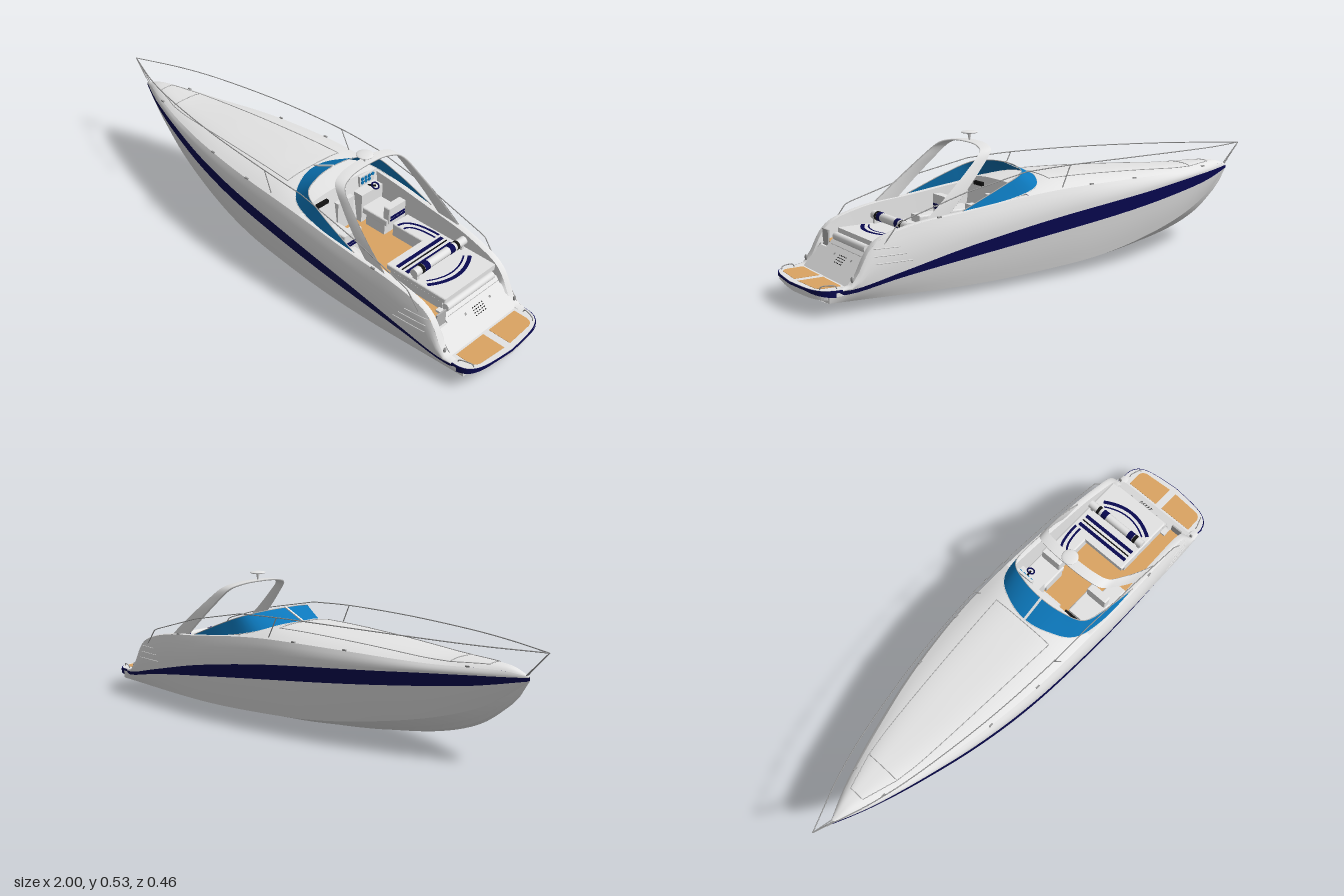
import * as THREE from 'three';

const mat = (name, color) => Object.assign(new THREE.MeshStandardMaterial({ color, side: THREE.DoubleSide }), { name });
const M = {
  white: mat('gelcoat white', 0xe4e4e4), navy: mat('navy', 0x080850), glass: mat('blue glass', 0x0c78bc),
  teak: mat('teak', 0xdba462), grey: mat('panel grey', 0xb4b4b4), steel: mat('steel', 0x9a9a9a),
  black: mat('black', 0x121212),
};

// Smooth curve through [x, value] pairs.
const curve = (...p) => {
  const s = p.map((_, i) => {
    const a = p[Math.max(i - 1, 0)], b = p[Math.min(i + 1, p.length - 1)];
    return (b[1] - a[1]) / (b[0] - a[0]);
  });
  return x => {
    let i = 0;
    while (i < p.length - 2 && x > p[i + 1][0]) i++;
    const d = p[i + 1][0] - p[i][0], t = Math.min(Math.max((x - p[i][0]) / d, 0), 1), t2 = t * t, t3 = t2 * t;
    return p[i][1] * (2 * t3 - 3 * t2 + 1) + p[i + 1][1] * (3 * t2 - 2 * t3) +
      d * (s[i] * (t3 - 2 * t2 + t) + s[i + 1] * (t3 - t2));
  };
};

// Hull lines along x: heights and half widths.
const keelY = curve([-0.93, 0.285], [-0.9, 0.235], [-0.85, 0.185], [-0.75, 0.115], [-0.6, 0.063], [-0.4, 0.028], [-0.2, 0.01], [0, 0.002], [0.4, 0], [0.8, 0.012], [0.94, 0.03]);
const chineY = curve([-0.93, 0.286], [-0.85, 0.225], [-0.75, 0.172], [-0.6, 0.125], [-0.4, 0.085], [-0.2, 0.057], [0, 0.042], [0.4, 0.03], [0.94, 0.042]);
const chineZ = curve([-0.93, 0.002], [-0.85, 0.02], [-0.75, 0.045], [-0.6, 0.085], [-0.4, 0.13], [-0.2, 0.165], [0, 0.185], [0.4, 0.196], [0.94, 0.18]);
const lowY = curve([-0.93, 0.287], [-0.75, 0.256], [-0.5, 0.23], [0, 0.183], [0.4, 0.138], [0.7, 0.098], [0.85, 0.07], [0.94, 0.062]);
const lowZ = curve([-0.93, 0.004], [-0.85, 0.037], [-0.75, 0.073], [-0.6, 0.118], [-0.4, 0.168], [-0.2, 0.202], [0, 0.219], [0.3, 0.225], [0.6, 0.215], [0.85, 0.199], [0.94, 0.182]);
const topY = curve([-0.93, 0.298], [-0.75, 0.292], [-0.5, 0.278], [0, 0.239], [0.4, 0.182], [0.7, 0.118], [0.85, 0.084], [0.94, 0.079]);
const topZ = x => lowZ(x) + 0.005 * Math.min(1, (x + 0.93) * 8);
const gunY = curve([-0.93, 0.302], [-0.85, 0.315], [-0.6, 0.315], [-0.3, 0.325], [0, 0.327], [0.2, 0.316], [0.46, 0.287], [0.6, 0.273], [0.7, 0.253], [0.77, 0.228], [0.81, 0.19], [0.86, 0.1], [0.9, 0.086]);
const gunZ = curve([-0.93, 0.003], [-0.85, 0.034], [-0.75, 0.067], [-0.6, 0.11], [-0.4, 0.158], [-0.2, 0.19], [0, 0.208], [0.3, 0.212], [0.6, 0.203], [0.75, 0.195], [0.9, 0.195]);
const crown = curve([-0.93, 0], [-0.85, 0.012], [-0.6, 0.018], [-0.3, 0.024], [0, 0.034], [0.07, 0.037], [0.2, 0.03]);
const deckY = (x, z) => gunY(x) + crown(x) * (1 - Math.pow(Math.abs(z) / gunZ(x), 3));

function loft(rows, flip = false) {
  const n = rows[0].length, idx = [];
  for (let i = 0; i < rows.length - 1; i++) for (let j = 0; j < n - 1; j++) {
    const a = i * n + j, b = a + 1, c = a + n, d = c + 1;
    idx.push(...(flip ? [a, b, c, b, d, c] : [a, c, b, b, c, d]));
  }
  const g = new THREE.BufferGeometry();
  g.setAttribute('position', new THREE.Float32BufferAttribute(rows.flat(2), 3));
  g.setIndex(idx);
  g.computeVertexNormals();
  return g;
}
const range = (a, b, n) => Array.from({ length: n + 1 }, (_, i) => a + (b - a) * i / n);
const V = p => new THREE.Vector3(...p);

export function createModel() {
  const boat = new THREE.Group();
  boat.name = 'motorYacht';
  const add = (name, g, m, x = 0, y = 0, z = 0) => {
    const o = new THREE.Mesh(g, m);
    o.name = name;
    o.position.set(x, y, z);
    boat.add(o);
    return o;
  };
  const box = (name, m, x0, x1, y0, y1, z0, z1) =>
    add(name, new THREE.BoxGeometry(x1 - x0, y1 - y0, z1 - z0), m, (x0 + x1) / 2, (y0 + y1) / 2, (z0 + z1) / 2);
  const tube = (name, pts, r, m, tension = 0.5) =>
    add(name, new THREE.TubeGeometry(new THREE.CatmullRomCurve3(pts.map(V), false, 'catmullrom', tension), pts.length * 8, r, 6), m);
  const rollZ = (name, m, r, x, y, z0, z1) => {
    const o = add(name, new THREE.CylinderGeometry(r, r, z1 - z0, 20), m, x, y, (z0 + z1) / 2);
    o.rotation.x = Math.PI / 2;
  };
  // Rounded cushion: a side profile with soft corners, extruded across the boat.
  const cushion = (name, m, x0, x1, y0, y1, z0, z1) => {
    const b = 0.006, s = new THREE.Shape();
    s.moveTo(x0 + b, y0 + b).lineTo(x1 - b, y0 + b).lineTo(x1 - b, y1 - b).lineTo(x0 + b, y1 - b).closePath();
    add(name, new THREE.ExtrudeGeometry(s, { depth: z1 - z0 - 2 * b, bevelSize: b, bevelThickness: b, bevelSegments: 3 }), m, 0, 0, z0 + b);
  };
  // Flat curved stripe lying on a cushion, through [x, z] points.
  const stripe = (name, m, y, w, a, c, b) => {
    const pts = new THREE.QuadraticBezierCurve(...[a, c, b].map(p => new THREE.Vector2(...p)));
    add(name, loft(range(0, 1, 16).map(t => {
      const p = pts.getPoint(t), d = pts.getTangent(t);
      return [-1, 1].map(s => [p.x - s * d.y * w / 2, y, p.y + s * d.x * w / 2]);
    }), true), m);
  };

  // Hull, stripe, bulwarks and deck, lofted in bands on both sides
  const strakes = [[0, 0], [0.3, 0.24], [0.34, 0.18], [0.62, 0.58], [0.66, 0.5], [1, 1]];
  const bands = [
    ['hullBottom', M.white, -0.93, 0.94, x => strakes.map(([f, h]) => [x, keelY(x) + (chineY(x) - keelY(x)) * h, chineZ(x) * f])],
    ['hullSide', M.white, -0.93, 0.94, x => range(0, 1, 4).map(t => [x, chineY(x) + (lowY(x) - chineY(x)) * t, chineZ(x) + (lowZ(x) - chineZ(x)) * (1.3 * t - 0.3 * t * t)])],
    ['hullStripe', M.navy, -0.93, 0.94, x => [[x, lowY(x), lowZ(x)], [x, topY(x), topZ(x)]]],
    ['bulwark', M.white, -0.93, 0.9, x => range(0, 1, 5).map(t => [x, topY(x) + (gunY(x) - topY(x)) * t,
      topZ(x) + (gunZ(x) - topZ(x)) * t * t + 0.012 * t * (1 - t) * Math.min(1, (x + 0.93) * 3)])],
    ['foredeck', M.white, -0.93, 0.2, x => range(1, 0, 10).map(t => [x, deckY(x, gunZ(x) * t), gunZ(x) * t])],
    ['coaming', M.white, 0.2, 0.9, x => [[x, gunY(x), gunZ(x)], [x, gunY(x) + 0.003, gunZ(x) - 0.01], [x, gunY(x), gunZ(x) - 0.025]]],
    ['cockpitLining', M.white, 0.2, 0.9, x => [[x, gunY(x), gunZ(x) - 0.025], [x, Math.min(0.16, gunY(x) - 0.01), gunZ(x) - 0.032]]],
  ];
  for (const s of [1, -1]) for (const [name, m, a, b, f] of bands)
    add(name, loft(range(a, b, 60).map(x => f(x).map(([px, y, z]) => [px, y, z * s])), s < 0), m);
  const transomEdge = [[keelY, () => 0], [chineY, chineZ], [lowY, lowZ], [topY, topZ]];
  add('transom', loft([1, -1].map(s => transomEdge.map(([y, z]) => [0.94, y(0.94), s * z(0.94)]))), M.white);
  const dashZ = range(-1, 1, 16).map(t => t * 0.2);
  add('cockpitBulkhead', loft([dashZ.map(z => [0.23, 0.16, z * 0.87]), dashZ.map(z => [0.2, deckY(0.2, z), z])]), M.white);

  // Foredeck panel seams, cleats and aft side mouldings
  const seam = pts => tube('deckSeam', pts.map(([x, z]) => [x, deckY(x, z) + 0.0012, z]), 0.0016, M.grey, 0.5);
  for (const s of [1, -1]) {
    seam(range(0, 1, 8).map(t => [-0.67 + 0.73 * t, s * (0.07 + 0.06 * Math.pow(t, 0.7))]));
    seam(range(0, 1, 4).map(t => [-0.8 + 0.13 * t, s * (0.03 + 0.04 * t)]));
    for (const x of [-0.74, -0.3, -0.08, 0.55])
      box('cleat', M.steel, x - 0.008, x + 0.008, gunY(x), gunY(x) + 0.005, s * gunZ(x) - 0.003, s * gunZ(x) + 0.003);
    for (let i = 0; i < 3; i++) {
      const x0 = 0.66 + i * 0.02, y = 0.155 + i * 0.024;
      tube('sideMoulding', [x0, x0 + 0.07, x0 + 0.13 - i * 0.02].map(x => {
        const t = (y - topY(x)) / (gunY(x) - topY(x));
        return [x, y, s * (topZ(x) + (gunZ(x) - topZ(x)) * t * t + 0.012 * t * (1 - t))];
      }), 0.0018, M.white);
    }
  }
  for (const [x, w] of [[-0.8, 0.03], [-0.67, 0.07], [0.06, 0.13]]) seam(range(-1, 1, 6).map(t => [x, t * w]));

  // Wraparound windscreen, its frame and centre post
  const half = (pts) => [...pts.slice(1).reverse().map(([x, y, z]) => [x, y, -z]), ...pts];
  const base = half([[0.07, 0.363, 0], [0.09, 0.358, 0.09], [0.15, 0.335, 0.175], [0.28, 0.309, 0.203], [0.46, 0.286, 0.2]]);
  const top = half([[0.16, 0.405, 0], [0.17, 0.402, 0.09], [0.205, 0.389, 0.168], [0.3, 0.354, 0.19], [0.46, 0.29, 0.199]]);
  const sample = pts => new THREE.CatmullRomCurve3(pts.map(V)).getPoints(48).map(p => p.toArray());
  add('windscreen', loft([sample(base), sample(top)]), M.glass);
  tube('windscreenFrame', top, 0.0018, M.grey);
  tube('windscreenSill', base, 0.0018, M.white);
  box('windscreenPost', M.white, -0.052, 0.052, -0.003, 0.003, -0.0045, 0.0045).position.set(0.114, 0.3845, 0);
  boat.children.at(-1).rotation.z = Math.atan2(0.042, 0.09);

  // Radar arch: a flat raked band
  const archRows = sample(half([[0, 0.498, 0], [0, 0.492, 0.1], [0, 0.475, 0.148], [0, 0.42, 0.17], [0, 0.345, 0.187], [0, 0.24, 0.198]]))
    .map(([, y, z]) => {
      const x = 0.31 + (0.498 - y) * 1.1, w = 0.02 + (0.498 - y) * 0.09, iy = y - 0.005, iz = z * 0.972;
      return [[x - w, y, z], [x + w, y, z], [x + w, iy, iz], [x - w, iy, iz], [x - w, y, z]];
    });
  add('radarArch', loft(archRows), M.white);
  add('radarStem', new THREE.CylinderGeometry(0.007, 0.002, 0.025, 12), M.white, 0.31, 0.508, 0);
  add('radarDish', new THREE.SphereGeometry(0.031, 24, 12).scale(1, 0.18, 1), M.white, 0.31, 0.526, 0);

  // Handrails and stanchions
  for (const s of [1, -1]) {
    tube('bowRail', [[-1, 0.388, 0], [-0.8, 0.394, s * 0.075], [-0.6, 0.4, s * 0.125], [-0.3, 0.406, s * 0.172], [0, 0.407, s * 0.196], [0.2, 0.4, s * 0.199]], 0.002, M.steel);
    tube('sternRail', [[0.2, 0.4, s * 0.199], [0.45, 0.352, s * 0.202], [0.7, 0.28, s * 0.202], [0.85, 0.09, s * 0.195]], 0.002, M.steel, 0);
    for (const [x, z, tx, ty, tz] of [[-0.92, 0.004, -1, 0.388, 0], [0.05, 0.2, 0.01, 0.407, 0.196]])
      tube('railPost', [[x, gunY(x), s * z], [tx, ty, s * tz]], 0.002, M.steel);
  }

  // Cockpit sole, dashboard and steering wheel
  box('cockpitSole', M.teak, 0.2, 0.77, 0.155, 0.172, -0.172, 0.172);
  box('walkwaySole', M.teak, 0.77, 0.8, 0.155, 0.172, 0.12, 0.165);
  box('helmConsole', M.white, 0.19, 0.25, 0.17, 0.29, -0.17, -0.06);
  box('cabinDoor', M.white, 0.205, 0.228, 0.172, 0.29, -0.04, 0.04);
  box('instrumentPanel', M.white, 0.204, 0.214, 0.298, 0.34, -0.162, -0.086);
  for (let i = 0; i < 7; i++) {
    const gauge = add('gauge', new THREE.CylinderGeometry(0.0068, 0.0068, 0.004, 16), M.glass, 0.216, i < 4 ? 0.329 : 0.314, -0.097 - (i % 4) * 0.018);
    gauge.rotation.z = Math.PI / 2;
  }
  box('radioPanel', M.black, 0.204, 0.216, 0.31, 0.324, 0.077, 0.132);
  const wheel = add('steeringWheel', new THREE.TorusGeometry(0.014, 0.003, 8, 24), M.navy, 0.25, 0.302, -0.13);
  wheel.rotation.set(0, Math.PI / 2, 1.1, 'ZYX');
  tube('steeringColumn', [[0.21, 0.285, -0.13], [0.25, 0.302, -0.13]], 0.004, M.black);

  // Helm and companion seats
  for (const z of [-0.115, 0.115]) {
    box('seatBase', M.white, 0.27, 0.36, 0.172, 0.215, z - 0.05, z + 0.05);
    cushion('seatCushion', M.white, 0.25, 0.37, 0.212, 0.238, z - 0.052, z + 0.052);
    cushion('seatBack', M.white, 0.345, 0.375, 0.22, 0.288, z - 0.045, z + 0.045);
    for (const y of [0.234, 0.246]) box('seatTrim', M.navy, 0.3745, 0.3775, y, y + 0.008, z - 0.038, z + 0.038);
  }
  cushion('sideSeat', M.white, 0.36, 0.46, 0.165, 0.222, 0.105, 0.172);

  // Aft lounge: side settee, striped cushions and bolsters
  cushion('settee', M.white, 0.38, 0.54, 0.165, 0.222, -0.17, -0.085);
  stripe('setteeStripe', M.navy, 0.2235, 0.01, [0.402, -0.09], [0.402, -0.153], [0.54, -0.153]);
  stripe('setteeStripe', M.navy, 0.2235, 0.008, [0.43, -0.09], [0.43, -0.132], [0.54, -0.132]);
  box('loungeBase', M.white, 0.54, 0.77, 0.17, 0.205, -0.17, 0.1);
  cushion('loungeCushion', M.white, 0.52, 0.78, 0.2, 0.222, -0.17, 0.1);
  for (const x of [0.55, 0.592]) box('loungeStripe', M.navy, x, x + 0.014, 0.221, 0.2235, -0.15, 0.085);
  box('loungePiping', M.black, 0.575, 0.58, 0.221, 0.2235, -0.15, 0.085);
  stripe('curvedStripe', M.navy, 0.2235, 0.014, [0.69, -0.14], [0.765, -0.025], [0.69, 0.085]);
  stripe('curvedStripe', M.navy, 0.2235, 0.006, [0.675, -0.125], [0.735, -0.025], [0.675, 0.07]);
  rollZ('bolster', M.white, 0.016, 0.64, 0.25, -0.165, 0.098);
  for (const [a, b, m] of [[0.03, 0.054, M.navy], [0.056, 0.07, M.black], [-0.102, -0.078, M.navy], [-0.126, -0.114, M.black]])
    rollZ('bolsterBand', m, 0.0168, 0.64, 0.25, a, b);
  for (const z of [-0.15, 0.085]) box('bolsterBracket', M.white, 0.63, 0.65, 0.215, 0.25, z - 0.006, z + 0.006);
  rollZ('aftBolster', M.white, 0.014, 0.785, 0.192, -0.145, 0.1);

  // Sloping transom locker, walkway step and gate, vents and lights
  const slope = 0.95, lockerX = y => 0.885 - (y - 0.08) * slope;
  const wedge = (name, h, z, w) => {
    const s = new THREE.Shape();
    s.moveTo(0.76, 0.08).lineTo(lockerX(0.08), 0.08).lineTo(lockerX(h), h).lineTo(0.76, h).closePath();
    add(name, new THREE.ExtrudeGeometry(s, { depth: w, bevelEnabled: false }), M.white, 0, 0, z);
  };
  wedge('transomLocker', 0.18, -0.175, 0.295);
  wedge('walkwayStep', 0.154, 0.12, 0.05);
  box('walkwayGate', M.grey, 0.8, 0.806, 0.12, 0.21, 0.122, 0.168);
  const onSlope = (name, m, y, z, h, w) => {
    const o = add(name, new THREE.BoxGeometry(0.002, h, w), m, lockerX(y), y, z);
    o.rotation.z = Math.atan(slope);
  };
  for (let i = 0; i < 4; i++) for (let j = 0; j < 5; j++) onSlope('vent', M.black, 0.128 + i * 0.007, -0.052 + j * 0.012, 0.003, 0.006);
  for (const z of [-0.095, 0.035]) onSlope('transomFitting', M.steel, 0.147, z, 0.008, 0.008);
  onSlope('transomSeam', M.grey, 0.167, -0.03, 0.002, 0.27);
  for (const z of [-0.186, 0.186]) add('sternLight', new THREE.SphereGeometry(0.009, 12, 8).scale(0.5, 1.2, 0.7), M.steel, 0.862, 0.11, z);

  // Swim platform with navy rim and teak pads
  const plan = new THREE.Shape();
  plan.moveTo(0.83, -0.195).lineTo(0.92, -0.195).bezierCurveTo(0.99, -0.185, 0.99, -0.12, 1, 0)
    .bezierCurveTo(0.99, 0.12, 0.99, 0.185, 0.92, 0.195).lineTo(0.83, 0.195).closePath();
  const slab = (name, m, y, d, k) => add(name, new THREE.ExtrudeGeometry(plan, { depth: d, bevelEnabled: false, curveSegments: 16 })
    .rotateX(Math.PI / 2).translate(-0.83, 0, 0).scale(k, 1, k), m, 0.83, y, 0);
  slab('platformUnderside', M.white, 0.064, 0.012, 0.93);
  slab('platformBody', M.white, 0.078, 0.014, 0.985);
  slab('platformRim', M.navy, 0.085, 0.008, 1);
  slab('platformTop', M.white, 0.0865, 0.003, 0.985);
  for (const s of [1, -1]) {
    // Navy side of the rim, tapering round the platform corner
    const corner = new THREE.CubicBezierCurve(...[[0.92, 0.195], [0.99, 0.185], [0.99, 0.12], [1, 0]].map(p => new THREE.Vector2(...p)));
    add('platformCorner', loft(range(0, 0.7, 12).map(t => {
      const p = corner.getPoint(t);
      return [0.062 + 0.016 * t / 0.7, 0.08].map(y => [p.x + 0.001, y, s * (p.y + 0.001)]);
    }), s < 0), M.navy);
    const p = new THREE.Shape();
    p.moveTo(0.887, s * 0.015).lineTo(0.976, s * 0.015).lineTo(0.968, s * 0.13).quadraticCurveTo(0.963, s * 0.152, 0.94, s * 0.155).lineTo(0.887, s * 0.155).closePath();
    add('teakPad', new THREE.ExtrudeGeometry(p, { depth: 0.0015, bevelEnabled: false }).rotateX(Math.PI / 2), M.teak, 0, 0.0876, 0);
    tube('platformHandle', [[0.91, 0.086, s * 0.175], [0.92, 0.097, s * 0.174], [0.955, 0.097, s * 0.162], [0.963, 0.086, s * 0.158]], 0.002, M.steel);
  }
  return boat;
}
